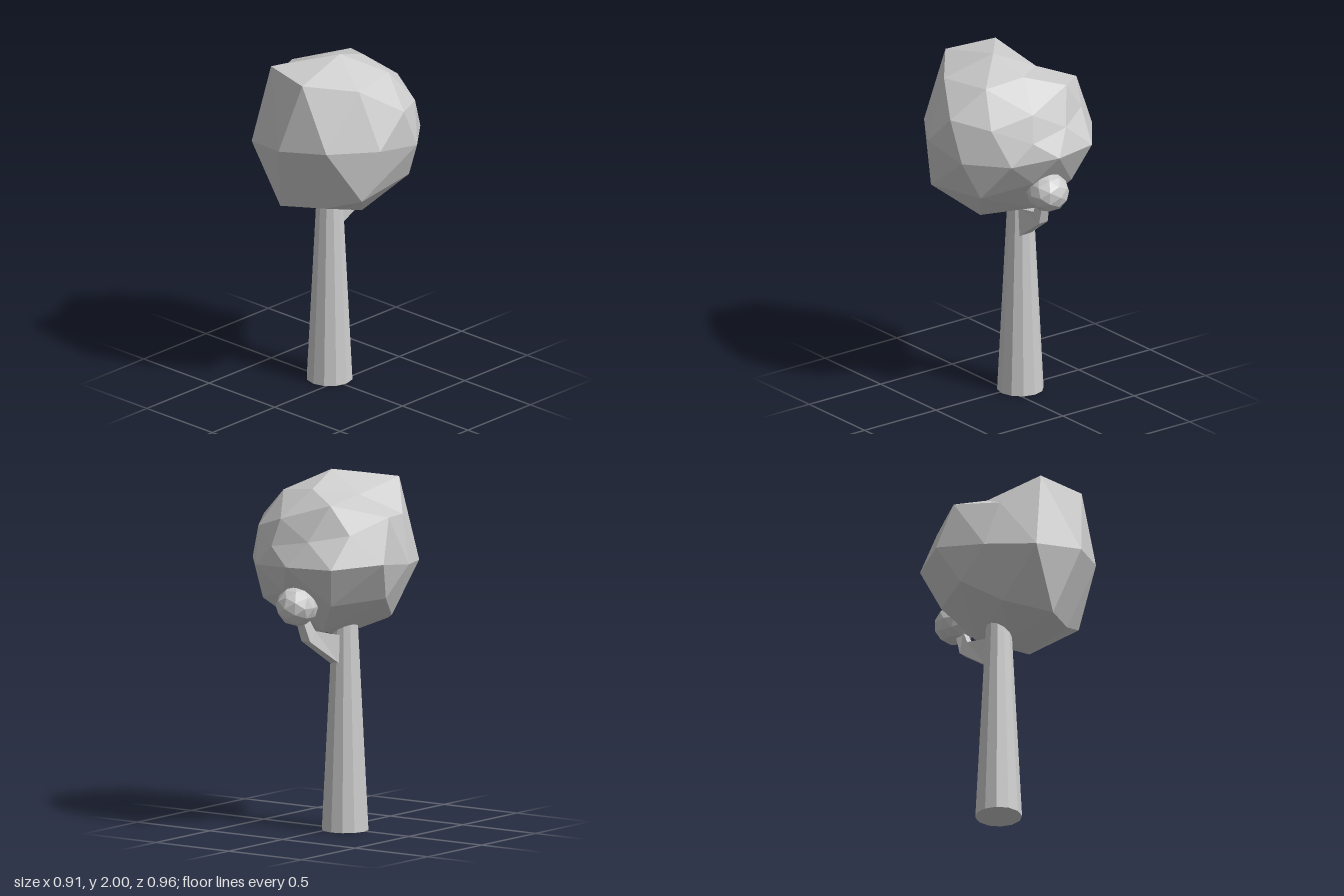
import * as THREE from 'three';
import { ConvexGeometry } from 'three/addons/geometries/ConvexGeometry.js';

const stone = new THREE.MeshStandardMaterial({ color: 0xcccccc, flatShading: true });
stone.name = 'pale grey';

function part(name, geometry) {
  const mesh = new THREE.Mesh(geometry, stone);
  mesh.name = name;
  return mesh;
}

// Faceted shell: joins corners as neighbours seen from the centre, so dents survive
function shell(points, centre) {
  const dirs = points.map(p => p.clone().sub(centre).normalize());
  const geo = new ConvexGeometry(dirs);
  const pos = geo.attributes.position;
  const v = new THREE.Vector3();
  for (let i = 0; i < pos.count; i++) {
    v.fromBufferAttribute(pos, i);
    let best = 0;
    dirs.forEach((d, k) => { if (d.distanceToSquared(v) < dirs[best].distanceToSquared(v)) best = k; });
    pos.setXYZ(i, points[best].x, points[best].y, points[best].z);
  }
  geo.computeVertexNormals();
  return geo;
}

// Crown corners, tier by tier
const tiers = {
  top: [[0.065, 2, 0.045], [-0.18, 1.945, 0.34], [0.12, 1.93, 0.405], [0.32, 1.88, 0.16],
    [0.26, 1.89, -0.14], [0.03, 1.92, -0.18], [-0.18, 1.89, -0.025]],
  shoulder: [[0.45, 1.73, -0.065], [-0.42, 1.79, -0.08], [-0.33, 1.77, 0.17], [0.11, 1.77, -0.37],
    [-0.18, 1.86, -0.3], [0.33, 1.7, -0.28], [-0.1, 1.66, -0.4], [0.14, 1.62, -0.415], [-0.3, 1.7, -0.28]],
  middle: [[0.01, 1.53, 0.48], [0.285, 1.56, 0.385], [0.455, 1.55, 0.13], [0.45, 1.5, -0.17],
    [0.27, 1.5, -0.385], [0, 1.52, -0.47], [-0.27, 1.52, -0.415], [-0.455, 1.54, -0.175],
    [-0.41, 1.5, 0.12], [-0.285, 1.48, 0.385]],
  base: [[-0.09, 1.14, 0.36], [0.17, 1.17, 0.27], [0.38, 1.25, 0.2], [0.35, 1.285, -0.21],
    [0.1, 1.36, -0.36], [-0.2, 1.3, -0.32], [-0.385, 1.33, -0.06], [-0.27, 1.2, 0.15],
    [-0.03, 1.085, 0.02], [0.19, 1.085, 0], [-0.05, 1.13, -0.19]],
};

// Four-sided limb through sections of [x, half width, lower y, lower z, upper y, upper z]
function limb(sections) {
  const pos = [], index = [];
  for (const [x, w, y0, z0, y1, z1] of sections) {
    pos.push(x - w, y0, z0, x + w, y0, z0, x + w, y1, z1, x - w, y1, z1);
  }
  for (let s = 0; s < sections.length - 1; s++) {
    for (let k = 0; k < 4; k++) {
      const a = s * 4 + k, b = s * 4 + (k + 1) % 4;
      index.push(a, a + 4, b, b, a + 4, b + 4);
    }
  }
  const e = (sections.length - 1) * 4;
  index.push(0, 1, 2, 0, 2, 3, e, e + 2, e + 1, e, e + 3, e + 2);
  const geo = new THREE.BufferGeometry();
  geo.setAttribute('position', new THREE.Float32BufferAttribute(pos, 3));
  geo.setIndex(index);
  const flat = geo.toNonIndexed();
  flat.computeVertexNormals();
  return flat;
}

export function createModel() {
  const model = new THREE.Group();
  model.name = 'tree';

  // Tapered trunk
  const trunk = part('trunk', new THREE.CylinderGeometry(0.069, 0.13, 1.2, 12));
  trunk.position.set(-0.075, 0.6, -0.02);
  model.add(trunk);

  // Leaf crown
  const corners = Object.values(tiers).flat().map(p => new THREE.Vector3(...p));
  model.add(part('crown', shell(corners, new THREE.Vector3(0, 1.53, 0))));

  // Bent side branch at the back
  model.add(part('branch', limb([
    [-0.06, 0.035, 0.92, -0.06, 1.09, -0.05],
    [-0.055, 0.035, 0.945, -0.1, 1.1, -0.09],
    [-0.015, 0.03, 1.085, -0.305, 1.14, -0.255],
    [0, 0.025, 1.22, -0.35, 1.22, -0.295],
  ])));

  // Small leaf cluster on the branch
  const cluster = part('leafCluster', new THREE.IcosahedronGeometry(0.12, 1));
  cluster.scale.set(0.98, 0.93, 1);
  cluster.position.set(0, 1.29, -0.365);
  model.add(cluster);

  return model;
}
